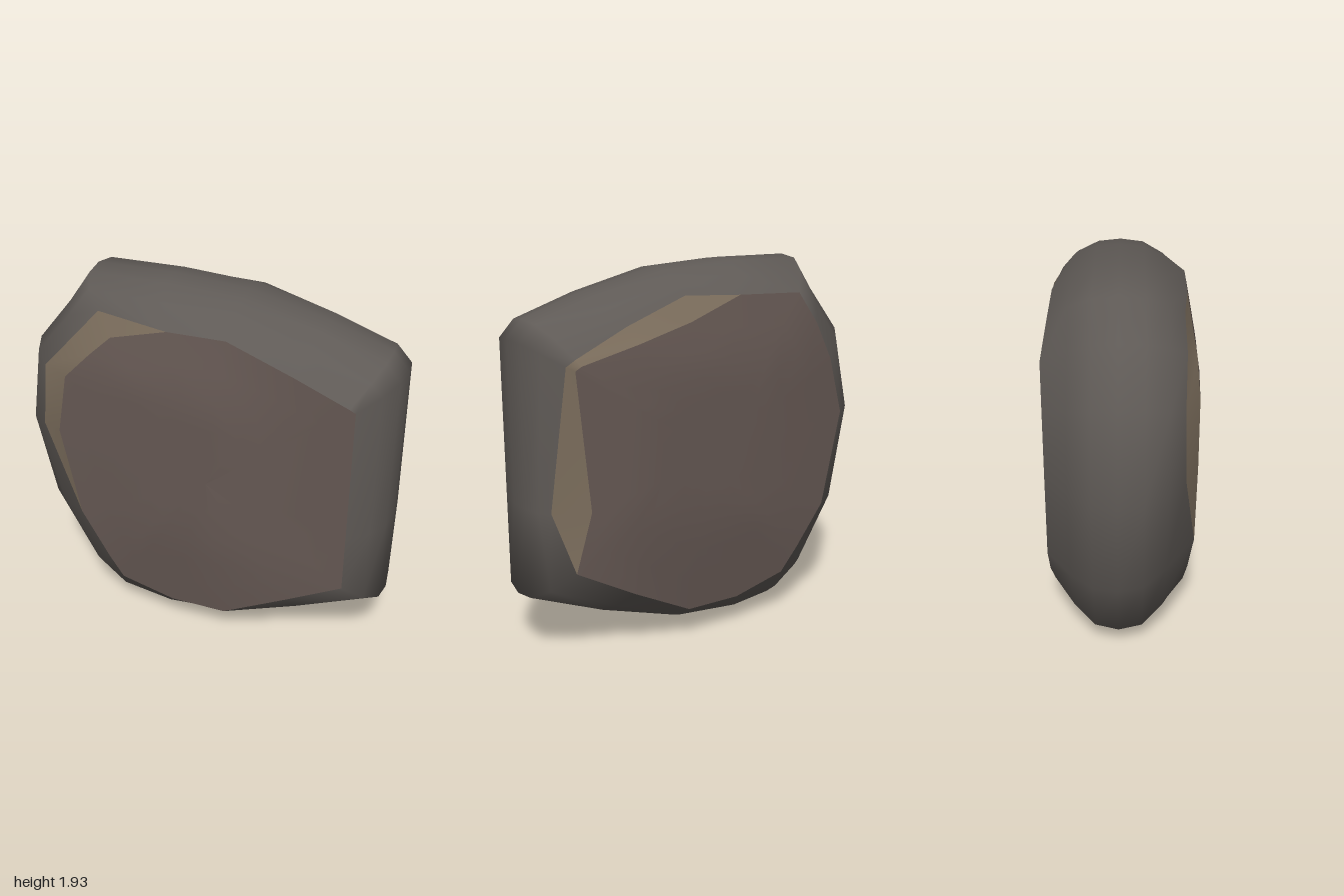
import * as THREE from 'three';

// Outlines run clockwise as seen from the front; a third number overrides the depth.
const middle = [[-1, 1.09], [-0.92, 1.53], [-0.73, 1.76], [-0.61, 1.93], [-0.2, 1.93], [0.2, 1.9],
  [0.6, 1.8], [0.92, 1.69], [1, 1.6], [1, 0.8], [1, 0.33], [0.6, 0.17], [0.2, 0.05],
  [-0.2, 0], [-0.47, 0.02], [-0.68, 0.14], [-0.92, 0.57]];
const frontInner = [[-0.7, 1.13], [-0.64, 1.45], [-0.5, 1.59], [-0.39, 1.69], [-0.1, 1.76], [0.2, 1.76],
  [0.53, 1.63], [0.8, 1.515], [0.83, 1.5], [0.83, 0.8], [0.83, 0.5], [0.53, 0.34], [0.2, 0.17],
  [-0.1, 0.17], [-0.39, 0.25], [-0.46, 0.38], [-0.6, 0.65]];
const backInner = [[-0.77, 1.1], [-0.68, 1.4], [-0.57, 1.6], [-0.47, 1.76], [-0.1, 1.77], [0.2, 1.66],
  [0.5, 1.58], [0.78, 1.5], [0.81, 1.48], [0.75, 0.8], [0.83, 0.5], [0.53, 0.34], [0.2, 0.17],
  [-0.1, 0.17], [-0.39, 0.25], [-0.48, 0.38], [-0.65, 0.6]];

// Outer edges differ from the inner ones only where a face is chipped.
const replace = (loop, chips) => loop.map((p, i) => chips[i] ?? p);
const frontOuter = replace(frontInner, {
  0: [-0.82, 1.12, 0.31], 1: [-0.79, 1.46, 0.3], 2: [-0.6, 1.66, 0.31], 3: [-0.47, 1.8, 0.3],
});
const backOuter = replace(backInner, {
  5: [0.2, 1.78, 0.29], 6: [0.53, 1.66, 0.31], 7: [0.8, 1.53, 0.31], 8: [0.85, 1.5, 0.31], 9: [0.92, 0.8, 0.25],
});

// Piecewise linear lookup
function lookup(table, v) {
  if (v <= table[0][0]) return table[0][1];
  for (let i = 1; i < table.length; i++) {
    const [a, fa] = table[i - 1], [b, fb] = table[i];
    if (v <= b) return fa + (fb - fa) * (v - a) / (b - a);
  }
  return table[table.length - 1][1];
}

// Depth of the gently bulged faces
const heightDepth = [[0.18, 0.33], [0.65, 0.39], [1.45, 0.39], [1.76, 0.33]];
const frontDepth = [[-0.82, 0.35], [-0.7, 0.37], [-0.2, 0.388], [0.17, 0.388], [0.5, 0.325], [0.83, 0.32]];
const backDepth = [[-0.77, 0.34], [-0.24, 0.39], [0.5, 0.39], [0.83, 0.32]];

// Gives an outline its depth on one side of the stone
function place(loop, side) {
  const table = side > 0 ? frontDepth : backDepth;
  return loop.map(([x, y, z]) => new THREE.Vector3(x, y,
    side * (z ?? Math.min(lookup(table, x), lookup(heightDepth, y)))));
}

// Joins successive loops into a smooth skin
function skin(name, loops, color) {
  const n = loops[0].length, points = loops.flat(), index = [];
  const tri = (a, b, c) => {
    const area = new THREE.Triangle(points[a], points[b], points[c]).getArea();
    if (area > 1e-7) index.push(a, b, c);
  };
  for (let k = 0; k < loops.length - 1; k++) {
    for (let i = 0; i < n; i++) {
      const a = k * n + i, b = k * n + (i + 1) % n;
      tri(a, b + n, b);
      tri(a, a + n, b + n);
    }
  }
  const geometry = new THREE.BufferGeometry().setFromPoints(points);
  geometry.setIndex(index);
  geometry.computeVertexNormals();
  const mesh = new THREE.Mesh(geometry, new THREE.MeshStandardMaterial({ color }));
  mesh.name = name;
  return mesh;
}

// Rounded shoulder between the middle outline and a face edge
function shoulder(edge, side) {
  return [[0.12, 0.08], [0.23, 0.42]].map(([z, t]) => edge.map((e, i) => new THREE.Vector3(
    THREE.MathUtils.lerp(middle[i][0], e.x, t),
    THREE.MathUtils.lerp(middle[i][1], e.y, t),
    side * Math.min(z, Math.abs(e.z) * 0.85))));
}

// Rings shrinking from a face edge to its centre
function faceRings(inner, side) {
  const cx = 0.12, cy = 1;
  return [1, 0.8, 0.6, 0.4, 0.2, 0].map((s) =>
    place(inner.map(([x, y]) => [cx + (x - cx) * s, cy + (y - cy) * s]), side));
}

export function createModel() {
  const group = new THREE.Group();
  group.name = 'stone';
  const rimColor = 0x5f5a56, faceColor = 0x655853, chipColor = 0x7b6d5c;

  const front = place(frontOuter, 1), back = place(backOuter, -1);
  const centre = middle.map(([x, y]) => new THREE.Vector3(x, y, 0));

  // Rounded rim
  group.add(skin('rim',
    [back, ...shoulder(back, -1).reverse(), centre, ...shoulder(front, 1), front], rimColor));

  // Chipped edges
  group.add(skin('frontChip', [front, place(frontInner, 1)], chipColor));
  group.add(skin('backChip', [place(backInner, -1), back], chipColor));

  // Broad faces
  group.add(skin('frontFace', faceRings(frontInner, 1), faceColor));
  group.add(skin('backFace', faceRings(backInner, -1).reverse(), faceColor));
  return group;
}
